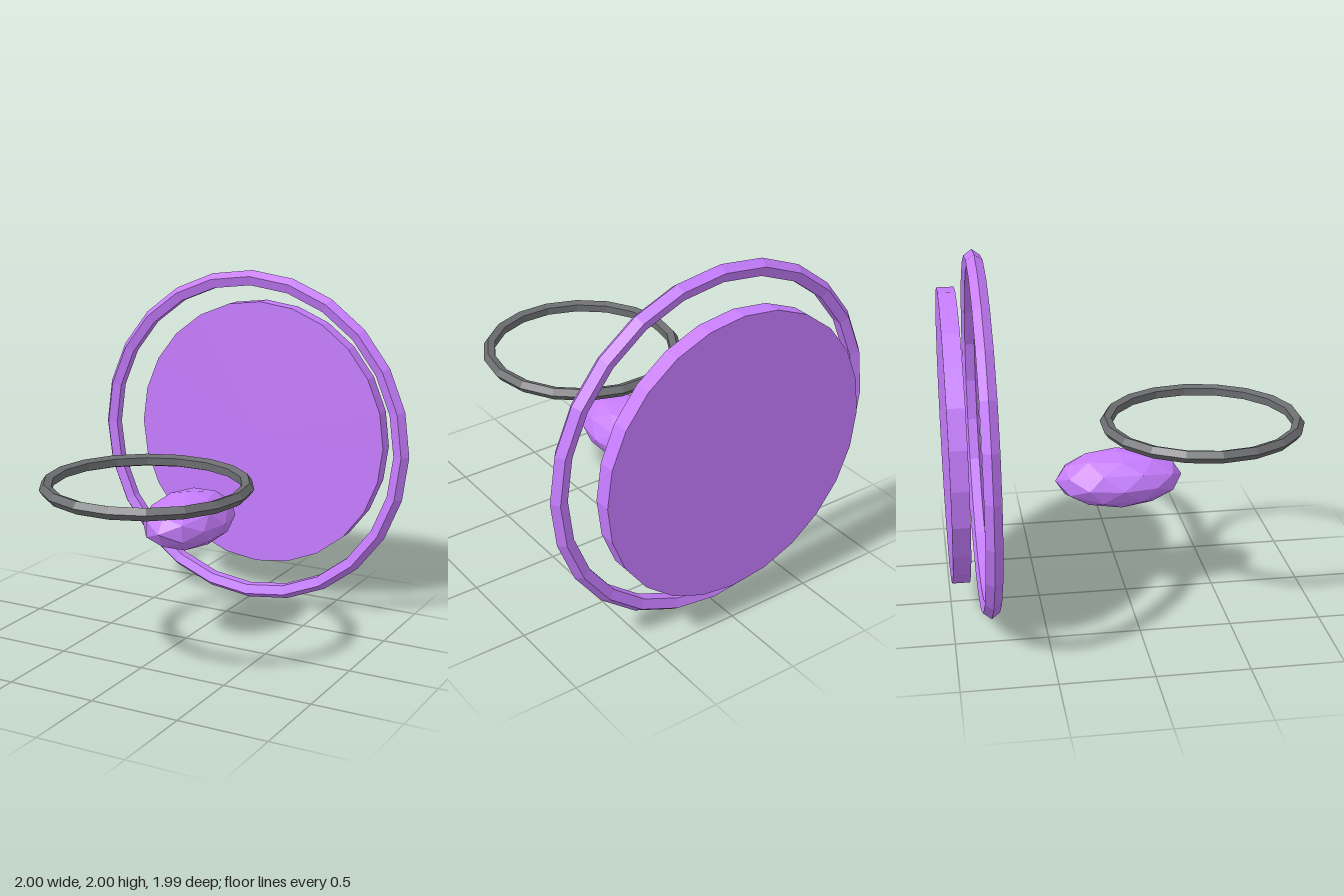
import * as THREE from 'three';

const flat = (color) => new THREE.MeshStandardMaterial({ color, flatShading: true });

export function createModel() {
  const model = new THREE.Group();
  const purple = flat(0xc77dff);
  const darkGrey = flat(0x6c6d70);

  const add = (name, geometry, material, x, y, z) => {
    const mesh = new THREE.Mesh(geometry, material);
    mesh.name = name;
    mesh.position.set(x, y, z);
    model.add(mesh);
    return mesh;
  };

  // Upright round plate at the very back
  const disc = new THREE.CylinderGeometry(0.8, 0.8, 0.094, 24).rotateX(Math.PI / 2);
  add('backDisc', disc, purple, 0, 1.003, -0.951);

  // Large upright ring just in front of the plate, five-sided tube
  add('largeRing', new THREE.TorusGeometry(0.953, 0.047, 5, 24), purple, 0, 1, -0.8);

  // Faceted ellipsoid, longest from front to back
  const body = new THREE.IcosahedronGeometry(1, 1).scale(0.225, 0.156, 0.356);
  add('ellipsoidBody', body, purple, 0, 0.698, -0.041);

  // Small ring lying flat above the ellipsoid, five-sided tube
  const ring = new THREE.TorusGeometry(0.533, 0.036, 5, 18).rotateX(Math.PI / 2);
  add('flatRing', ring, darkGrey, 0, 1.003, 0.428);

  return model;
}
